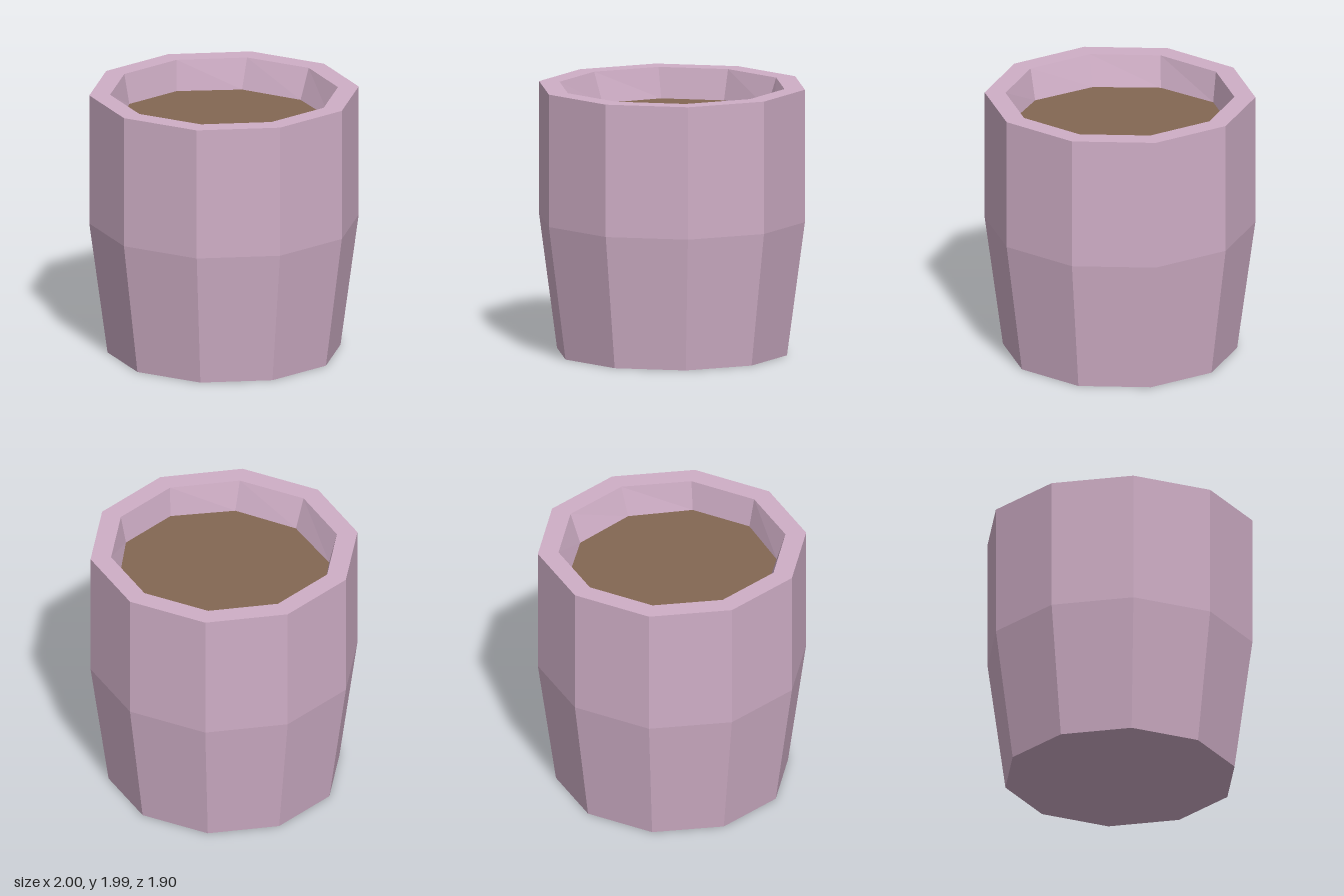
import * as THREE from 'three';

const SIDES = 10;

// Ten-sided ring of points, with a corner on the x axis
function ring(y, rx, rz = rx) {
  return Array.from({ length: SIDES }, (_, i) => {
    const a = (i / SIDES) * Math.PI * 2;
    return [rx * Math.cos(a), y, rz * Math.sin(a)];
  });
}

// Flat-faced surface through successive rings; rising rings face outward
function loft(rings) {
  const pos = [];
  for (let k = 0; k < rings.length - 1; k++) {
    for (let i = 0; i < SIDES; i++) {
      const j = (i + 1) % SIDES;
      const [a, b] = [rings[k][i], rings[k][j]];
      const [c, d] = [rings[k + 1][j], rings[k + 1][i]];
      pos.push(...a, ...d, ...c, ...a, ...c, ...b);
    }
  }
  const geo = new THREE.BufferGeometry();
  geo.setAttribute('position', new THREE.Float32BufferAttribute(pos, 3));
  geo.computeVertexNormals();
  return geo;
}

export function createModel() {
  const clay = new THREE.MeshStandardMaterial({ color: 0xcfaec6, flatShading: true });
  clay.name = 'pinkClay';
  const earth = new THREE.MeshStandardMaterial({ color: 0x836753, flatShading: true });
  earth.name = 'brownSoil';

  const group = new THREE.Group();
  group.name = 'planter';
  const add = (name, geo, mat) => {
    const mesh = new THREE.Mesh(geo, mat);
    mesh.name = name;
    group.add(mesh);
    return mesh;
  };

  const top = 1.99, soilY = 1.76, soilX = 0.765, soilZ = 0.817;

  // Outer shell: tapered lower half, straight upper half
  add('outerWall', loft([ring(0, 0.865), ring(1, 1), ring(top, 1)]), clay);

  // Flat rim and the inner wall sloping down to the soil
  add('rim', loft([ring(top, 1), ring(top, 0.846)]), clay);
  add('innerWall', loft([ring(top, 0.846), ring(soilY, soilX, soilZ)]), clay);

  // Closed underside
  add('base', new THREE.CircleGeometry(0.865, SIDES).rotateX(Math.PI / 2), clay);

  // Soil surface filling the opening
  const soil = new THREE.CircleGeometry(1, SIDES).rotateX(-Math.PI / 2);
  soil.scale(soilX, 1, soilZ);
  add('soil', soil, earth).position.y = soilY;

  return group;
}
